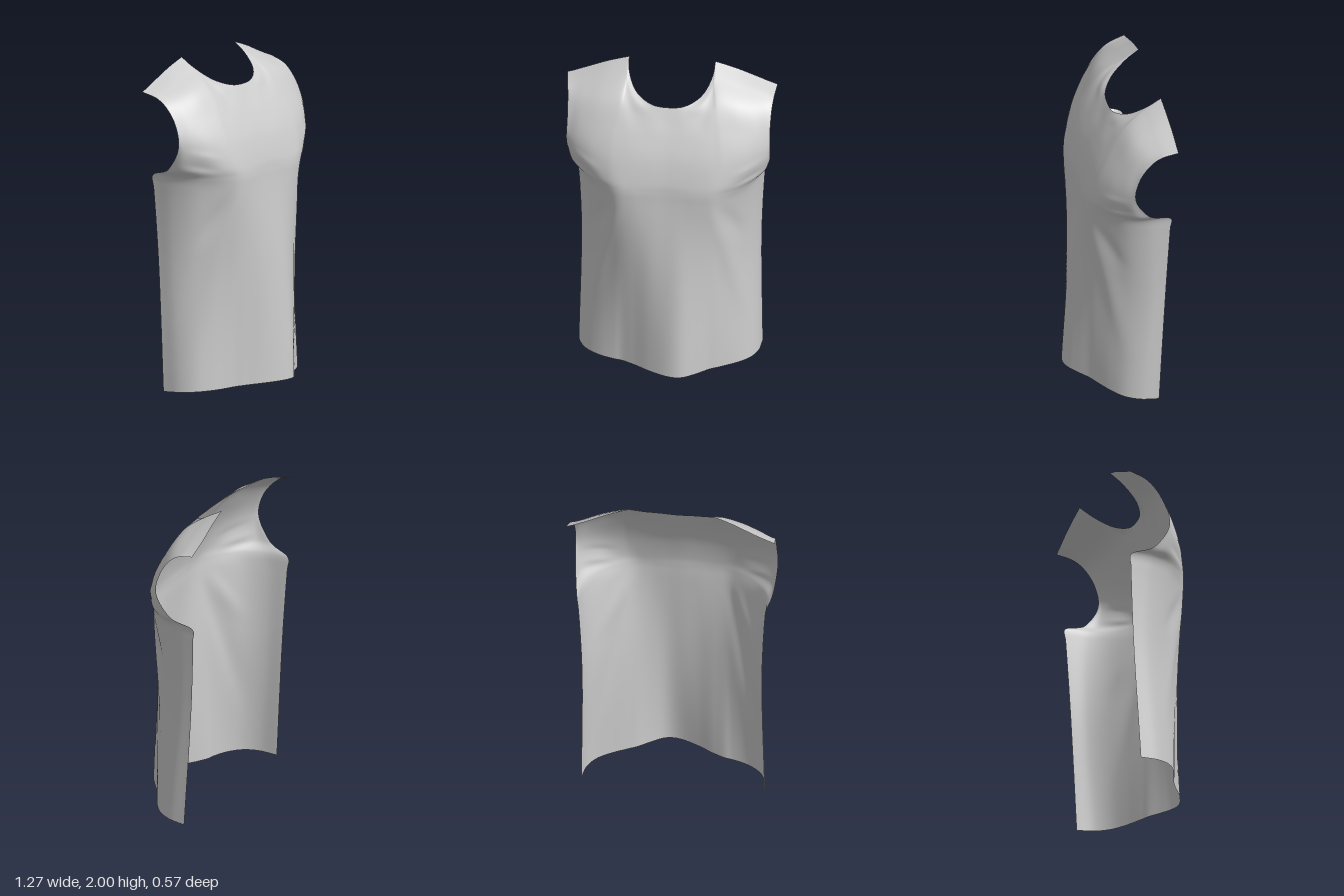
import * as THREE from 'three';

// Half-width columns, centre to side edge: across the body and along the neckline + shoulder
const bodyX = [0, 0.1, 0.2, 0.27, 0.32, 0.42, 0.5, 0.545, 0.56];
const topX = [0, 0.1, 0.195, 0.25, 0.26, 0.38, 0.5, 0.59, 0.635];
const topY = [1.825, 1.835, 1.875, 1.945, 2, 1.958, 1.905, 1.867, 1.85];
const UNDERARM = 1.33, SHOULDER = 1.85;

// Cross-sections from hem to shoulder: height and half width at the side edge, depth of each column
const rows = [
  { h: 0, edge: 0.555, z: [0.268, 0.25, 0.19, 0.145, 0.125, 0.075, 0.01, -0.075, -0.19] },
  { h: 0.8, edge: 0.545, z: [0.225, 0.22, 0.19, 0.16, 0.13, 0.05, -0.04, -0.135, -0.235] },
  { h: 1.25, edge: 0.564, z: [0.19, 0.192, 0.192, 0.182, 0.16, 0.08, -0.01, -0.12, -0.257] },
  { h: 1.33, edge: 0.572, z: [0.185, 0.188, 0.19, 0.184, 0.166, 0.098, 0.01, -0.095, -0.26] },
  { h: 1.39, edge: 0.6, z: [0.178, 0.18, 0.18, 0.175, 0.16, 0.105, 0.03, -0.04, -0.12] },
  { h: 1.54, edge: 0.615, z: [0.135, 0.137, 0.135, 0.128, 0.119, 0.083, 0.032, -0.01, -0.03] },
  { h: 1.67, edge: 0.612, z: [0.075, 0.075, 0.07, 0.058, 0.047, 0.022, -0.012, -0.045, -0.055] },
  { h: 1.77, edge: 0.615, z: [0.02, 0.02, 0, -0.027, -0.052, -0.06, -0.085, -0.11, -0.12] },
  { h: 1.82, edge: 0.622, z: [-0.005, -0.01, -0.04, -0.115, -0.18, -0.18, -0.185, -0.19, -0.185] },
  { h: 1.85, edge: 0.635, z: [-0.02, -0.03, -0.09, -0.195, -0.28, -0.285, -0.29, -0.29, -0.29] },
];

function rowPoints({ h, edge, z }) {
  // the neck and shoulder outline only takes over near the top
  const w = Math.max(0, (h - UNDERARM) / (SHOULDER - UNDERARM)) ** 4;
  const scale = edge / THREE.MathUtils.lerp(bodyX[8], topX[8], w);
  const half = z.map((depth, j) => new THREE.Vector3(
    THREE.MathUtils.lerp(bodyX[j], topX[j], w) * scale,
    h + w * (topY[j] - SHOULDER),
    depth
  ));
  const mirrored = half.slice(1).reverse().map((p) => new THREE.Vector3(-p.x, p.y, p.z));
  return [...mirrored, ...half];
}

// Smooth row curve; the top row is split so the neck corners stay sharp
function rowSampler(row) {
  const pts = rowPoints(row);
  const cuts = row.h === SHOULDER ? [0, 4, 12, 16] : [0, 16];
  const curves = cuts.slice(1).map((c, i) => new THREE.CatmullRomCurve3(pts.slice(cuts[i], c + 1)));
  return (u) => {
    const s = u * 16;
    let i = 0;
    while (i < curves.length - 1 && s > cuts[i + 1]) i++;
    return curves[i].getPoint((s - cuts[i]) / (cuts[i + 1] - cuts[i]));
  };
}

// Soft ridge (height > 0) or valley along the line a-b in the front plane, fading at both ends
function fold(x, y, ax, ay, bx, by, width, height) {
  const dx = bx - ax, dy = by - ay, len = Math.hypot(dx, dy);
  const s = ((x - ax) * dx + (y - ay) * dy) / (len * len);
  if (s <= 0 || s >= 1) return 0;
  const d = ((x - ax) * dy - (y - ay) * dx) / len;
  return height * Math.sin(Math.PI * s) ** 2 * Math.exp(-((d / width) ** 2));
}

function drape(p) {
  const { x, y } = p;
  // the hanging front swings toward one side
  const q = x / 0.15;
  const low = 1 - THREE.MathUtils.smoothstep(y, 0, 1.2);
  p.z += 0.035 * low * q * Math.exp(0.5 - 0.5 * q * q);
  // folds falling from the bust and gathering under the arms
  for (const s of [-1, 1]) {
    p.z += fold(x * s, y, 0.26, 1.4, 0.52, 0.15, 0.045, 0.014);
    p.z += fold(x * s, y, 0.3, 1.3, 0.48, 0.85, 0.04, -0.012);
    p.z += fold(x * s, y, 0.36, 1.36, 0.64, 1.45, 0.025, -0.008);
    p.z += fold(x * s, y, 0.36, 1.43, 0.64, 1.52, 0.025, 0.005);
  }
  // hem rises toward the front
  p.y += (0.005 + (p.z + 0.19) * 0.065) * (1 - THREE.MathUtils.smoothstep(y, 0, 0.6));
  return p;
}

export function createModel() {
  const NU = 128, NV = 144;
  const samplers = rows.map(rowSampler);
  const positions = [], index = [];
  for (let i = 0; i <= NU; i++) {
    const column = new THREE.CatmullRomCurve3(samplers.map((f) => f(i / NU)));
    for (let k = 0; k <= NV; k++) positions.push(...drape(column.getPoint(k / NV)).toArray());
  }
  for (let i = 0; i < NU; i++) {
    for (let k = 0; k < NV; k++) {
      const a = i * (NV + 1) + k, b = a + NV + 1;
      index.push(a, b, b + 1, a, b + 1, a + 1);
    }
  }
  const geometry = new THREE.BufferGeometry();
  geometry.setAttribute('position', new THREE.Float32BufferAttribute(positions, 3));
  geometry.setIndex(index);
  geometry.computeVertexNormals();

  const panel = new THREE.Mesh(
    geometry,
    new THREE.MeshStandardMaterial({ color: 0xcccccc, side: THREE.DoubleSide })
  );
  panel.name = 'shirtFrontPanel';
  const group = new THREE.Group();
  group.name = 'sleevelessShirtFront';
  group.add(panel);
  return group;
}
